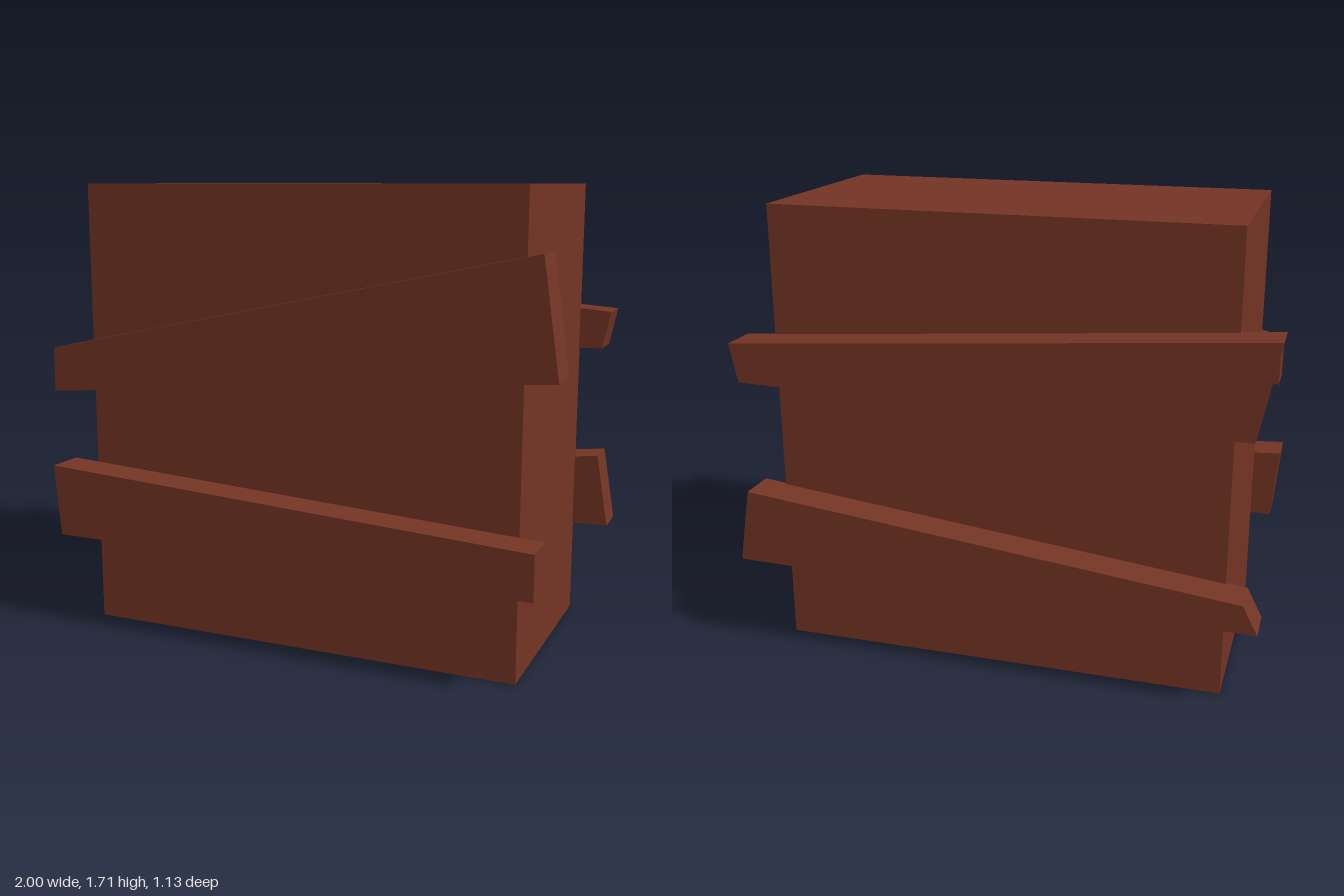
import * as THREE from 'three';

export function createModel() {
  const group = new THREE.Group();
  const wood = new THREE.MeshStandardMaterial({ color: 0x743524 });
  wood.name = 'reddish brown wood';

  // Main block
  const body = new THREE.Mesh(new THREE.BoxGeometry(1.7, 1.71, 0.85), wood);
  body.name = 'crateBody';
  body.position.set(0, 0.855, -0.005);
  group.add(body);

  // Crooked plank: four corners in the x-y plane, extruded along z
  const addPlank = (name, corners, z) => {
    const shape = new THREE.Shape(corners.map(([x, y]) => new THREE.Vector2(x, y)));
    const geometry = new THREE.ExtrudeGeometry(shape, { depth: 0.145, bevelEnabled: false });
    const plank = new THREE.Mesh(geometry, wood);
    plank.name = name;
    plank.position.z = z;
    group.add(plank);
  };

  // Front planks
  addPlank('frontUpperPlank', [[-0.93, 0.935], [1, 1.09], [0.94, 1.497], [-0.93, 1.1]], 0.42);
  addPlank('frontLowerPlank', [[-0.93, 0.367], [0.94, 0.36], [0.94, 0.525], [-0.955, 0.64]], 0.42);

  // Back planks
  addPlank('backUpperPlank', [[-0.93, 1.025], [0.94, 1.075], [0.97, 1.22], [-1, 1.37]], -0.565);
  addPlank('backLowerPlank', [[-0.98, 0.328], [0.987, 0.36], [0.94, 0.643], [-0.925, 0.435]], -0.565);

  return group;
}
